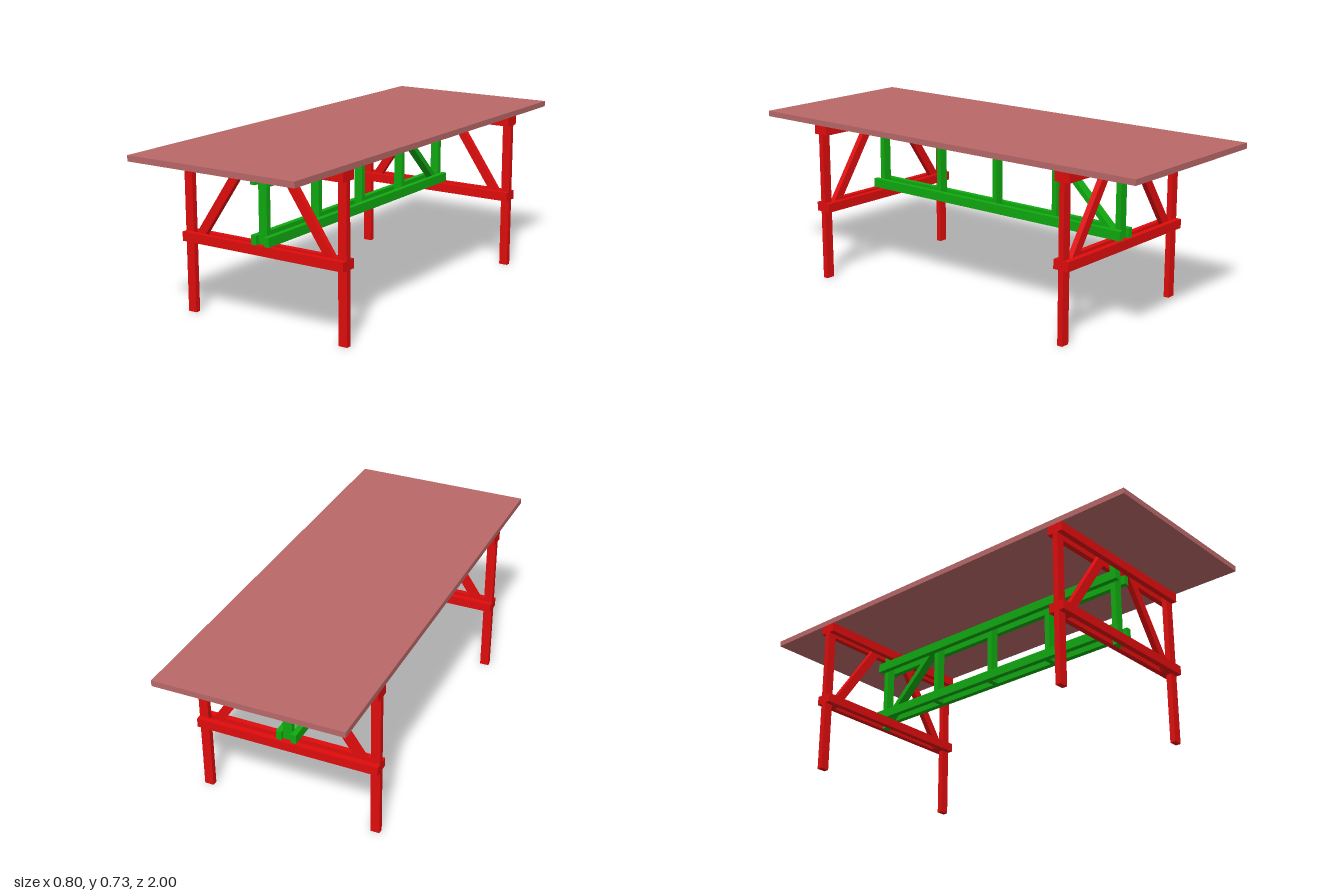
import * as THREE from 'three';

const RED = new THREE.MeshStandardMaterial({ color: 0xe00c0c });
const GREEN = new THREE.MeshStandardMaterial({ color: 0x10aa10 });
const TOP = new THREE.MeshStandardMaterial({ color: 0xb96868 });
const T = 0.024; // board thickness
const W = 0.04; // board width

// Box given by its centre in x and z and its y range
function board(name, material, w, d, x, y0, y1, z) {
  const mesh = new THREE.Mesh(new THREE.BoxGeometry(w, y1 - y0, d), material);
  mesh.position.set(x, (y0 + y1) / 2, z);
  mesh.name = name;
  return mesh;
}

// Slanted board with level ends; u is the horizontal centre, half its half width
function brace(name, material, u0, y0, u1, y1, half, depth) {
  const shape = new THREE.Shape([
    new THREE.Vector2(u0 - half, y0), new THREE.Vector2(u0 + half, y0),
    new THREE.Vector2(u1 + half, y1), new THREE.Vector2(u1 - half, y1),
  ]);
  const geometry = new THREE.ExtrudeGeometry(shape, { depth, bevelEnabled: false });
  geometry.translate(0, 0, -depth / 2);
  const mesh = new THREE.Mesh(geometry, material);
  mesh.name = name;
  return mesh;
}

// Trestle: legs and braces sandwiched between paired cross rails
function trestle(name, z) {
  const g = new THREE.Group();
  g.name = name;
  g.position.z = z;
  for (const s of [-1, 1]) {
    g.add(board('leg', RED, W, T, s * 0.38, 0, 0.7, 0));
    g.add(brace('legBrace', RED, s * 0.346, 0.31, s * 0.077, 0.7, 0.0235, T));
    g.add(board('upperRail', RED, 0.8, T, 0, 0.66, 0.7, s * T));
    g.add(board('lowerRail', RED, 0.8, T, 0, 0.31, 0.35, s * T));
  }
  g.add(board('centrePost', GREEN, W, T, 0, 0.31, 0.7, 0));
  return g;
}

export function createModel() {
  const model = new THREE.Group();
  model.name = 'trestleTable';
  model.add(board('tabletop', TOP, 0.8, 2, 0, 0.7, 0.725, 0));
  model.add(trestle('frontTrestle', 0.66));
  model.add(trestle('backTrestle', -0.667));

  // Long truss joining the trestles
  const truss = new THREE.Group();
  truss.name = 'truss';
  for (const s of [-1, 1]) {
    truss.add(board('upperStretcher', GREEN, T, 1.387, s * 0.032, 0.595, 0.635, 0));
    truss.add(board('lowerStretcher', GREEN, T, 1.387, s * 0.032, 0.35, 0.39, 0));
  }
  for (const z of [0.308, -0.017, -0.342]) {
    truss.add(board('trussPost', GREEN, W, T, 0, 0.35, 0.635, z));
  }
  // Diagonal at the back end, turned from the xy plane so +x becomes -z
  const diagonal = brace('trussBrace', GREEN, 0.657, 0.35, 0.357, 0.635, 0.016, W);
  diagonal.rotation.y = Math.PI / 2;
  truss.add(diagonal);
  model.add(truss);
  return model;
}
